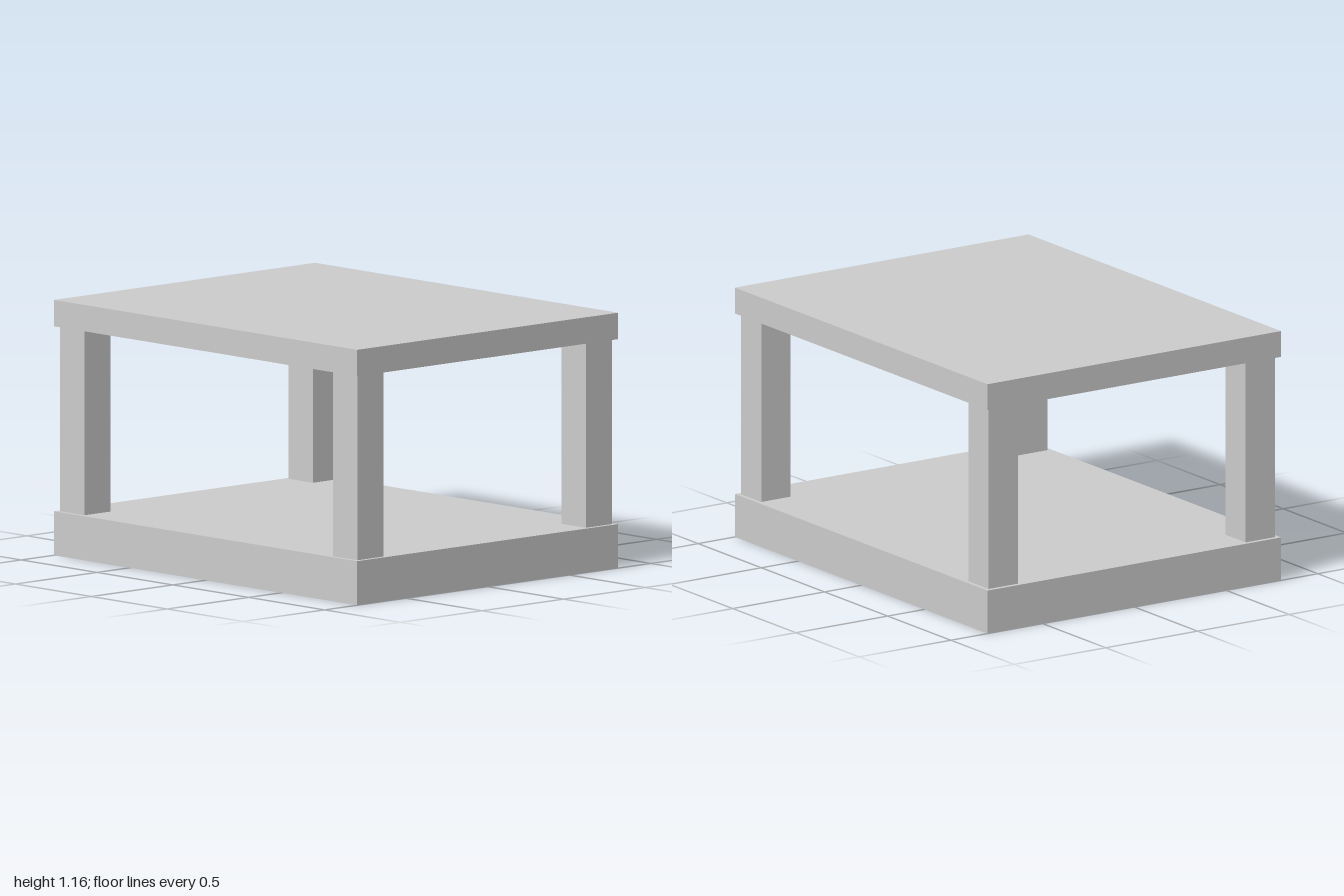
import * as THREE from 'three';

export function createModel() {
  const model = new THREE.Group();
  const material = new THREE.MeshStandardMaterial({ color: 0xcccccc });

  // Box standing on the given bottom height
  function addBox(name, width, height, depth, x, bottom, z) {
    const mesh = new THREE.Mesh(new THREE.BoxGeometry(width, height, depth), material);
    mesh.name = name;
    mesh.position.set(x, bottom + height / 2, z);
    model.add(mesh);
  }

  const baseHeight = 0.2;
  const postHeight = 0.84;

  // Thick base and thinner top slab
  addBox('base', 2, baseHeight, 1.6, 0, 0, 0);
  addBox('top', 2, 0.12, 1.6, 0, baseHeight + postHeight, 0);

  // Four corner posts, slightly inset from the edges
  for (const [side, x] of [['Left', 0.9], ['Right', -0.9]]) {
    for (const [end, z] of [['front', 0.7], ['back', -0.7]]) {
      addBox(`${end}${side}Post`, 0.16, postHeight, 0.16, x, baseHeight, z);
    }
  }

  return model;
}
